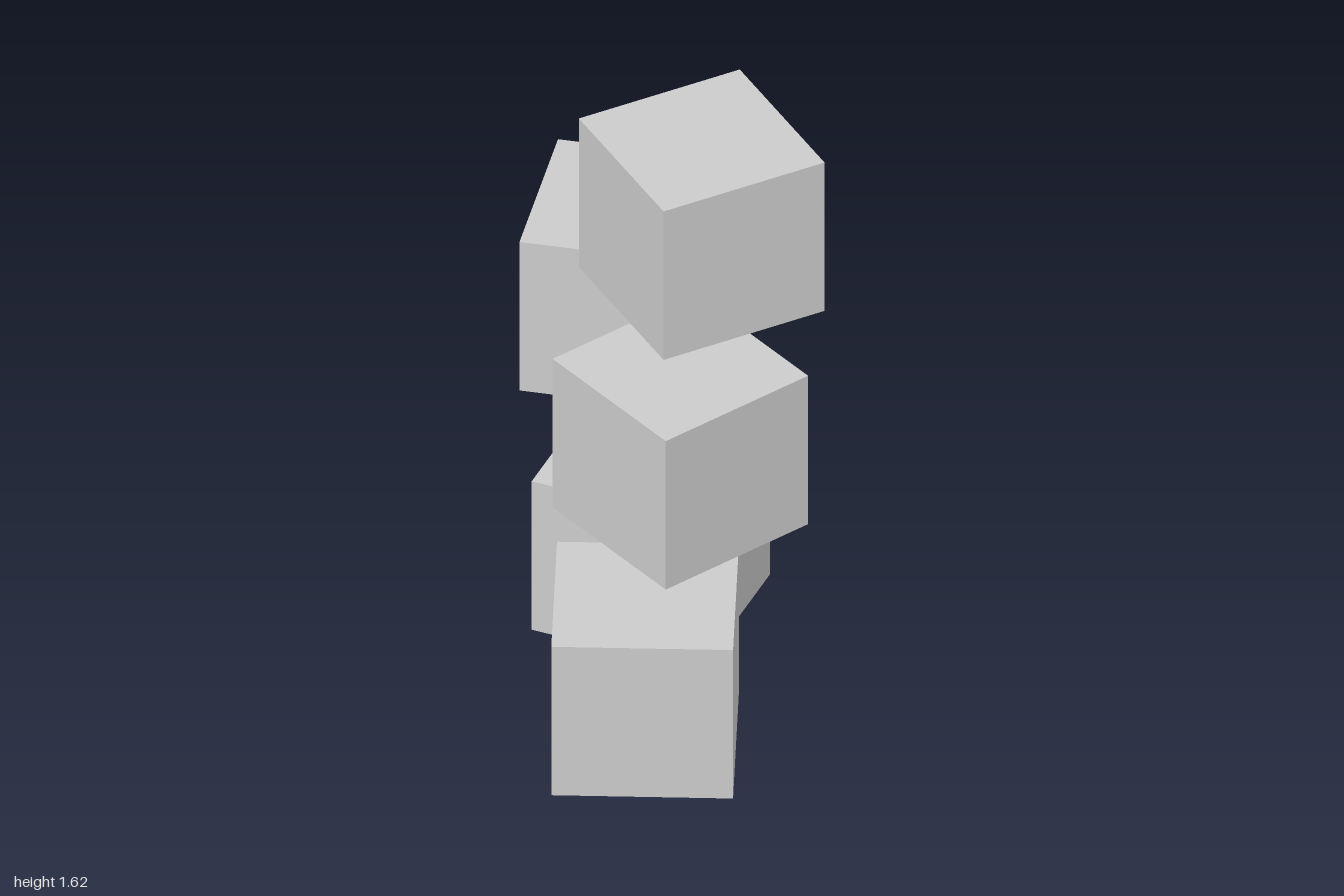
import * as THREE from 'three';

const SIZE = 0.533; // edge of one block
const STEP = 0.545; // layer spacing, leaving a thin gap

// name, x, z, layer, turn about y in degrees
const BLOCKS = [
  ['bottomFrontBlock', -0.087, 0.722, 0, -2.2],
  ['bottomMiddleBlock', -0.065, 0, 0, -23.4],
  ['bottomBackBlock', -0.045, -0.722, 0, -2.2],
  ['middleFrontBlock', 0.019, 0.333, 1, 38.1],
  ['middleBackBlock', -0.13, -0.507, 1, -12.6],
  ['topBlock', 0.084, -0.047, 2, 27.4],
];

export function createModel() {
  const group = new THREE.Group();
  group.name = 'blockPyramid';
  const material = new THREE.MeshStandardMaterial({ color: 0xcccccc });
  const geometry = new THREE.BoxGeometry(SIZE, SIZE, SIZE);

  // Pyramid of loosely turned blocks: three, two, one
  for (const [name, x, z, layer, turn] of BLOCKS) {
    const block = new THREE.Mesh(geometry, material);
    block.name = name;
    block.position.set(x, layer * STEP + SIZE / 2, z);
    block.rotation.y = THREE.MathUtils.degToRad(turn);
    group.add(block);
  }
  return group;
}
